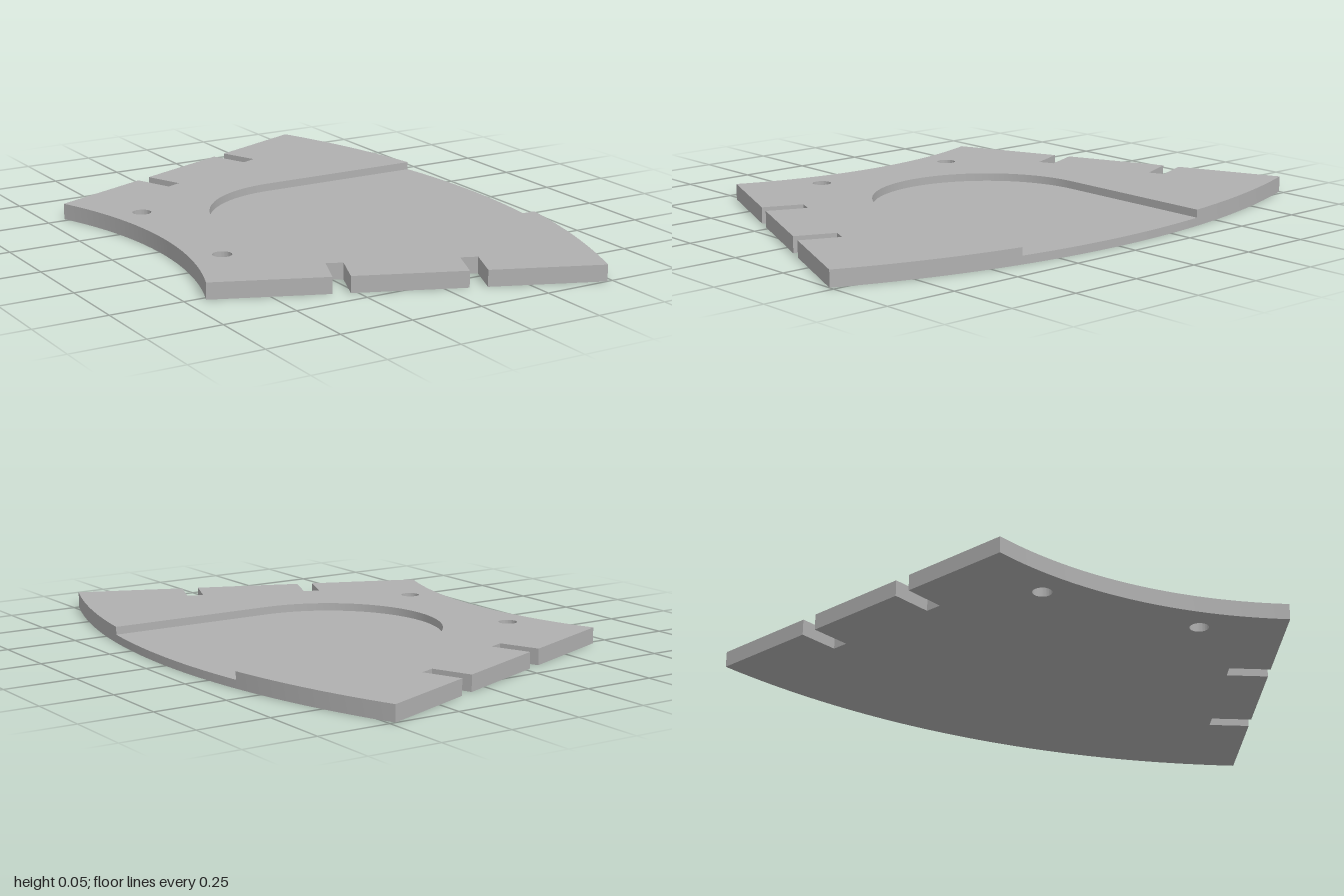
import * as THREE from 'three';
import { toCreasedNormals } from 'three/addons/utils/BufferGeometryUtils.js';

const APEX = -1.934;            // centre of the ring the plate is a sector of
const INNER = 1.354, OUTER = 2.613;
const HALF = Math.PI / 8;       // half of the sector angle
const THICK = 0.055, FLOOR = 0.028;
const SLOTS = [[1.743, 1.8], [2.173, 2.231]], SLOT_DEPTH = 0.142;
const POCKET_X = 0.05, POCKET_R = 0.39;
const POCKET_ANGLE = Math.asin(POCKET_R / OUTER);

// Point on the straight side: r along it, d inwards from it; s = +1 or -1 picks the side
function sidePoint(r, d, s) {
  return new THREE.Vector2(
    APEX + r * Math.cos(HALF) + d * Math.sin(HALF),
    s * (r * Math.sin(HALF) - d * Math.cos(HALF)));
}

function arc(cx, radius, from, to, n) {
  return Array.from({ length: n + 1 }, (_, i) => {
    const a = from + (to - from) * i / n;
    return new THREE.Vector2(cx + radius * Math.cos(a), radius * Math.sin(a));
  });
}

// Notched side from the inner to the outer corner
function notchedSide(s) {
  const points = [sidePoint(INNER, 0, s)];
  for (const [a, b] of SLOTS) {
    points.push(sidePoint(a, 0, s), sidePoint(a, SLOT_DEPTH, s),
      sidePoint(b, SLOT_DEPTH, s), sidePoint(b, 0, s));
  }
  points.push(sidePoint(OUTER, 0, s));
  return points;
}

// Extrude a plan outline upwards from the ground
function slab(shape, height, material, name) {
  const geometry = new THREE.ExtrudeGeometry(shape, { depth: height, bevelEnabled: false, curveSegments: 20 });
  geometry.rotateX(-Math.PI / 2);
  const mesh = new THREE.Mesh(toCreasedNormals(geometry, 0.5), material);
  mesh.name = name;
  return mesh;
}

export function createModel() {
  const group = new THREE.Group();
  group.name = 'sectorPlate';
  const grey = new THREE.MeshStandardMaterial({ color: 0xb0b0b0 });
  grey.name = 'plainGrey';

  // Rounded pocket edge, from its upper to its lower straight side
  const pocketEdge = arc(POCKET_X, POCKET_R, Math.PI / 2, Math.PI * 1.5, 48);

  // Full height plate, open where the pocket is
  const plate = new THREE.Shape([
    ...notchedSide(-1),
    ...arc(APEX, OUTER, -HALF, -POCKET_ANGLE, 16).slice(1),
    ...pocketEdge.slice().reverse(),
    ...arc(APEX, OUTER, POCKET_ANGLE, HALF, 16),
    ...notchedSide(1).reverse().slice(1),
    ...arc(APEX, INNER, HALF, -HALF, 40).slice(1, -1),
  ]);

  // Two through holes near the inner edge
  for (const s of [-1, 1]) {
    const hole = new THREE.Path();
    hole.absarc(-0.5, s * 0.285, 0.032, 0, Math.PI * 2, true);
    plate.holes.push(hole);
  }
  group.add(slab(plate, THICK, grey, 'plate'));

  // Lower floor filling the pocket
  const floor = new THREE.Shape([
    ...pocketEdge,
    ...arc(APEX, OUTER, -POCKET_ANGLE, POCKET_ANGLE, 20),
  ]);
  group.add(slab(floor, FLOOR, grey, 'pocketFloor'));

  return group;
}
